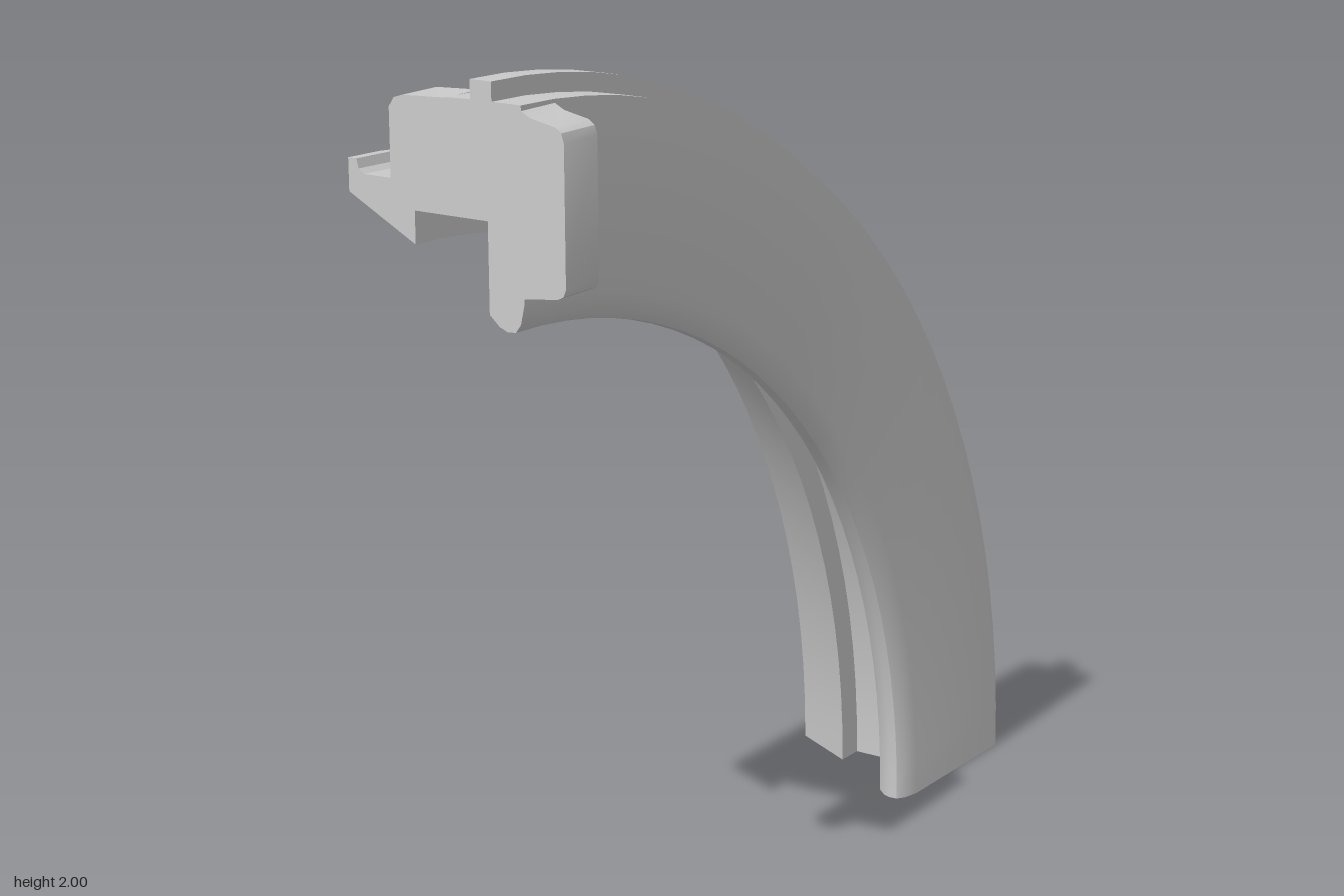
import * as THREE from 'three';
import { toCreasedNormals } from 'three/addons/utils/BufferGeometryUtils.js';

const grey = new THREE.MeshStandardMaterial({ color: 0xcccccc });

// Rail cross-section as (x, radius), clockwise from the outer lip
const section = [
  [-0.275, 1.74], [-0.275, 1.81], [-0.254, 1.81], [-0.248, 1.79], [-0.235, 1.78],
  [-0.06, 1.78], [-0.042, 1.787], [-0.033, 1.80], [-0.028, 1.95], [-0.02, 1.958],
  [0.042, 1.96], [0.042, 2], [0.095, 2], [0.095, 1.96], [0.167, 1.96],
  [0.167, 1.56], [0.158, 1.52], [0.145, 1.502], [0.125, 1.5], [0.105, 1.508],
  [0.08, 1.53], [0.08, 1.72], [-0.105, 1.72], [-0.105, 1.65]
];

function shapeOf(points) {
  return new THREE.Shape(points.map(([x, y]) => new THREE.Vector2(x, y)));
}

function addMesh(group, name, geometry) {
  const mesh = new THREE.Mesh(geometry, grey);
  mesh.name = name;
  group.add(mesh);
  return mesh;
}

function extrude(shape, depth) {
  const g = new THREE.ExtrudeGeometry(shape, { depth, bevelEnabled: false, curveSegments: 20 });
  return toCreasedNormals(g, 0.6);
}

export function createModel() {
  const model = new THREE.Group();
  model.name = 'curvedRail';

  // Section swept through a quarter turn about the x axis at z = 1
  const loop = [...section, section[0]].map(([x, r]) => new THREE.Vector2(r, x));
  const sweep = new THREE.LatheGeometry(loop, 28, Math.PI, Math.PI / 2);
  sweep.rotateZ(-Math.PI / 2);
  addMesh(model, 'railBody', toCreasedNormals(sweep, 0.6)).position.z = 1;

  // Flat caps on the two ends
  addMesh(model, 'frontCap', new THREE.ShapeGeometry(shapeOf(section))).position.z = 1;
  const foot = new THREE.ShapeGeometry(shapeOf(section.map(([x, r]) => [x, -r])));
  foot.rotateX(Math.PI / 2);
  addMesh(model, 'footCap', foot).position.z = 1;

  // Lugs either side of the upper end
  const lugs = {
    channelLug: [
      [-0.165, 1.77], [-0.02, 1.77], [-0.02, 1.957], [-0.13, 1.952], [-0.152, 1.945], [-0.165, 1.925]
    ],
    outerLug: [
      [0.155, 1.57], [0.18, 1.575], [0.25, 1.583], [0.264, 1.59], [0.27, 1.605],
      [0.27, 1.895], [0.264, 1.915], [0.25, 1.925], [0.19, 1.937], [0.155, 1.955]
    ]
  };
  for (const [name, points] of Object.entries(lugs)) {
    addMesh(model, name, extrude(shapeOf(points), 0.11)).position.z = 0.89;
  }

  // Screw tab with a hole at the foot, drawn as (x, -z)
  const tab = shapeOf([
    [-0.165, 0.77], [-0.025, 0.77], [-0.025, 0.92], [-0.14, 0.92], [-0.158, 0.912], [-0.165, 0.895]
  ]);
  const hole = new THREE.Path();
  hole.absarc(-0.098, 0.868, 0.025, 0, Math.PI * 2, true);
  tab.holes.push(hole);
  addMesh(model, 'screwTab', extrude(tab, 0.035).rotateX(-Math.PI / 2));

  return model;
}
